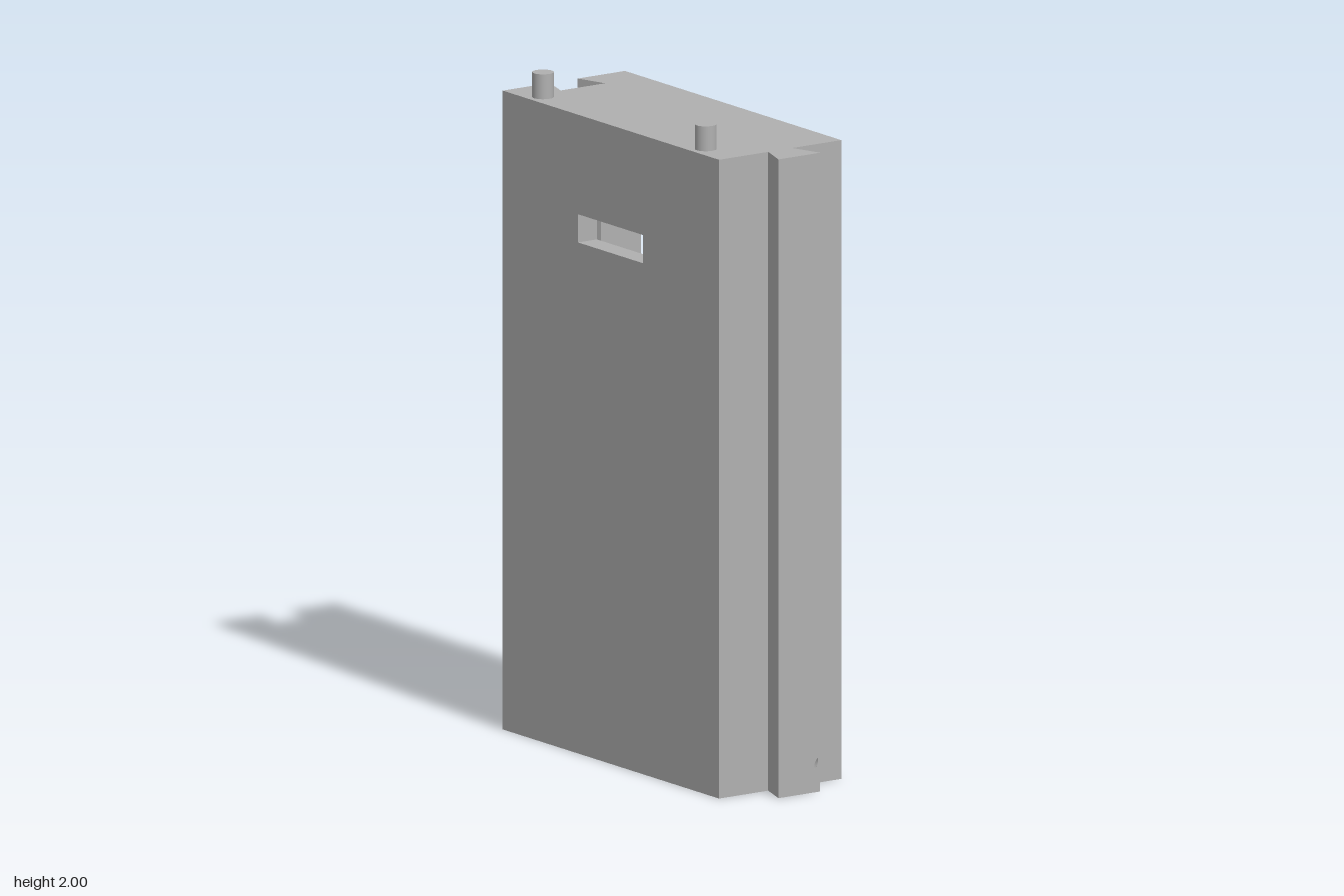
import * as THREE from 'three';

// Main dimensions
const L = -0.597, R = 0.5, TIP = 0.597, H = 1.925, F = 0.22;   // outer body
const IL = -0.515, IR = 0.418, IB = 0.112, IT = 1.815, IF = 0.152; // cavity
const GX = -0.5;                                               // groove floor
const BZ = -0.095, BY = 0.072, BR = 0.042;                     // cross bore
const PEGS = [-0.463, 0.362], PEG_Z = 0.17, PEG_R = 0.032;

// Dovetail flanks (back side, negative z) and their inverses
const tongueZ = x => -0.043 - 0.032 * (x - R) / (TIP - R);
const tongueX = z => R + (-0.043 - z) / 0.032 * (TIP - R);
const grooveZ = x => -0.05 - 0.03 * (x - L) / (GX - L);
const grooveX = z => L + (-0.05 - z) / 0.03 * (GX - L);

// Maps from plate coordinates to space
const atX = x => (z, y) => [x, y, z];
const atY = y => (x, z) => [x, y, z];
const atZ = z => (x, y) => [x, y, z];

const rect = (a0, b0, a1, b1) => [[a0, b0], [a1, b0], [a1, b1], [a0, b1]];
const arc = (a, b, r, t0, t1, n = 32) => Array.from({ length: n + 1 }, (_, i) => {
  const t = t0 + (t1 - t0) * i / n;
  return [a + r * Math.cos(t), b + r * Math.sin(t)];
});
const circle = (a, b, r) => arc(a, b, r, 0, Math.PI * 2).slice(0, -1);

export function createModel() {
  const model = new THREE.Group();
  model.name = 'dovetailEnclosure';
  const grey = new THREE.MeshStandardMaterial({ color: 0xb0b0b0, side: THREE.DoubleSide });
  grey.name = 'grey';

  const add = (name, geo) => {
    const mesh = new THREE.Mesh(geo, grey);
    mesh.name = name;
    model.add(mesh);
    return mesh;
  };
  // Flat plate from an outline with holes, placed by a map
  const plate = (name, map, outline, holes = []) => {
    const v = pts => pts.map(p => new THREE.Vector2(...p));
    const shape = new THREE.Shape(v(outline));
    shape.holes = holes.map(h => new THREE.Path(v(h)));
    const geo = new THREE.ShapeGeometry(shape);
    const pos = geo.attributes.position;
    for (let i = 0; i < pos.count; i++) pos.setXYZ(i, ...map(pos.getX(i), pos.getY(i)));
    geo.computeVertexNormals();
    return add(name, geo);
  };
  // Surface between two rows of points
  const loft = (name, rowA, rowB, flat = false) => {
    let geo = new THREE.BufferGeometry();
    const n = rowA.length, index = [];
    geo.setAttribute('position', new THREE.Float32BufferAttribute([...rowA, ...rowB].flat(), 3));
    for (let i = 0; i < n - 1; i++) index.push(i, i + 1, n + i, i + 1, n + i + 1, n + i);
    geo.setIndex(index);
    if (flat) geo = geo.toNonIndexed();
    geo.computeVertexNormals();
    return add(name, geo);
  };
  const tube = (name, a, b, r, mapA, mapB) => {
    const c = arc(a, b, r, 0, Math.PI * 2);
    return loft(name, c.map(p => mapA(...p)), c.map(p => mapB(...p)));
  };
  // Blind hole: wall and end disc
  const blindHole = (name, a, b, r, mapA, mapB) => {
    tube(name + 'Wall', a, b, r, mapA, mapB);
    plate(name + 'End', mapB, circle(a, b, r));
  };

  // Front panel with display slot
  const slot = rect(-0.215, 1.54, 0.115, 1.625);
  plate('frontFace', atZ(F), rect(L, 0, R, H), [slot]);
  plate('frontInnerFace', atZ(IF), rect(IL, IB, IR, IT), [slot]);
  const slotLoop = [...slot, slot[0]];
  loft('slotSides', slotLoop.map(p => atZ(F)(...p)), slotLoop.map(p => atZ(IF)(...p)), true);

  // Back rim with screw holes
  const screws = [0.456, -0.553].flatMap(x => [0.247, 1.68].map(y => [x, y]));
  plate('backRim', atZ(-F), rect(L, 0, R, H),
    [rect(IL, IB, IR, IT), ...screws.map(([x, y]) => circle(x, y, 0.019))]);
  for (const [x, y] of screws) blindHole('screwHole', x, y, 0.019, atZ(-F), atZ(-0.13));

  // Top and bottom share the dovetail outline
  const outline = [[L, -F], [R, -F], [R, -0.043], [TIP, -0.075], [TIP, 0.075], [R, 0.043],
    [R, F], [L, F], [L, 0.05], [GX, 0.08], [GX, -0.08], [L, -0.05]];
  plate('top', atY(H), outline);
  plate('bottom', atY(0), outline, PEGS.map(x => circle(x, PEG_Z, PEG_R)));

  // Cavity floor and ceiling, the floor slit where the bore breaks through
  const gz = -grooveZ(IL);
  const cavity = [[IL, -F], [IR, -F], [IR, IF], [IL, IF], [IL, gz], [GX, 0.08], [GX, -0.08], [IL, -gz]];
  const slit = Math.sqrt(BR ** 2 - (IB - BY) ** 2);
  plate('cavityFloor', atY(IB), cavity, [rect(GX + 0.002, BZ - slit, IR - 0.002, BZ + slit)]);
  plate('cavityCeiling', atY(IT), cavity);

  // Side walls
  const bore = circle(BZ, BY, BR);
  plate('leftWallBack', atX(R), rect(-F, 0, -0.043, H), [bore]);
  plate('leftWallFront', atX(R), rect(0.043, 0, F, H));
  plate('leftInnerWall', atX(IR), rect(-F, IB, IF, IT));
  plate('rightWallBack', atX(L), rect(-F, 0, -0.05, H), [bore]);
  plate('rightWallFront', atX(L), rect(0.05, 0, F, H));
  plate('rightInnerWallBack', atX(IL), rect(-F, IB, -gz, IT));
  plate('rightInnerWallFront', atX(IL), rect(gz, IB, IF, IT));

  // Dovetail tongue, notched by the bore
  const tAng = Math.acos((-0.075 - BZ) / BR);
  const tBite = arc(BZ, BY, BR, tAng, -tAng, 16);
  plate('tongueTip', atX(TIP), [[-0.075, 0], [0.075, 0], [0.075, H], [-0.075, H], ...tBite]);
  plate('tongueBackFlank', (x, y) => [x, y, tongueZ(x)],
    [[TIP, 0], [R, 0], [R, H], [TIP, H], ...tBite.map(([z, y]) => [tongueX(z), y])]);
  plate('tongueFrontFlank', (x, y) => [x, y, -tongueZ(x)], rect(R, 0, TIP, H));
  loft('tongueNotch', tBite.map(([z, y]) => [tongueX(z), y, z]), tBite.map(([z, y]) => [TIP, y, z]));

  // Dovetail groove, open into the cavity along its floor
  const gAng = Math.acos((-0.08 - BZ) / BR);
  const gBite = arc(BZ, BY, BR, gAng, -gAng, 16);
  const flank = [[GX, 0], [L, 0], [L, H], [GX, H], [GX, IT], [IL, IT], [IL, IB], [GX, IB]];
  plate('grooveBackFlank', (x, y) => [x, y, grooveZ(x)],
    [...flank, ...gBite.map(([z, y]) => [grooveX(z), y])]);
  plate('grooveFrontFlank', (x, y) => [x, y, -grooveZ(x)], flank);
  plate('grooveFloorLower', atX(GX), [[-0.08, 0], [0.08, 0], [0.08, IB], [-0.08, IB], ...gBite]);
  plate('grooveFloorUpper', atX(GX), rect(-0.08, IT, 0.08, H));

  // Cross bore, open at the floor slit
  const gap = Math.acos((IB - BY) / BR);
  const main = arc(BZ, BY, BR, Math.PI / 2 + gap, Math.PI * 2.5 - gap);
  loft('boreWall', main.map(p => atX(GX)(...p)), main.map(p => atX(R)(...p)));
  const mouth = arc(BZ, BY, BR, 0, Math.PI * 2);
  loft('boreMouth', mouth.map(p => atX(L)(...p)),
    mouth.map(([z, y]) => [Math.min(grooveX(z), GX), y, z]));

  // Locating pegs above, matching sockets below
  for (const x of PEGS) {
    add('peg', new THREE.CylinderGeometry(PEG_R, PEG_R, 2 - H, 32)).position.set(x, (2 + H) / 2, PEG_Z);
    blindHole('pegSocket', x, PEG_Z, PEG_R, atY(0), atY(0.08));
  }

  // Board standoffs
  for (const x of [0.127, -0.223]) for (const y of [0.648, 1.339]) {
    tube('standoff', x, y, 0.06, atZ(0.06), atZ(IF));
    tube('standoffHole', x, y, 0.021, atZ(0.06), atZ(IF));
    plate('standoffEnd', atZ(0.06), circle(x, y, 0.06), [circle(x, y, 0.021)]);
  }
  return model;
}
